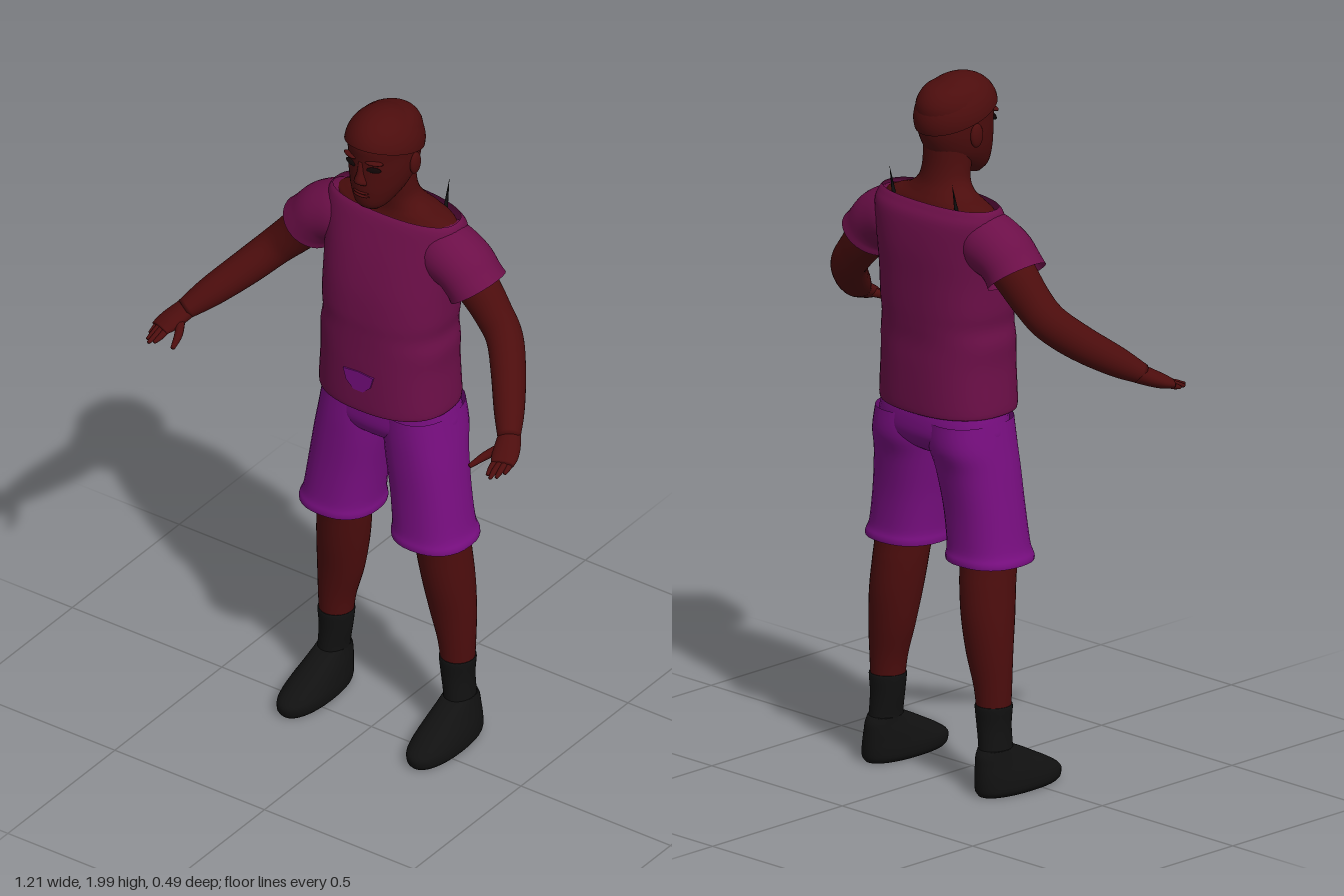
import * as THREE from 'three';

const mat = (name, color, side = THREE.DoubleSide) => {
  const m = new THREE.MeshStandardMaterial({ color, side });
  m.name = name;
  return m;
};

// Smooth loft through rings [x, y, z, ra, rb]. Upright lofts: ra is the z radius, rb the x radius.
// Lofts that follow their path: ra is the upward radius, rb the sideways radius.
function loft(rings, { follow = false, power = 2, caps = false, seg = 32, steps = 5 } = {}) {
  const n = rings.length, rows = [];
  const cubic = (a, b, c, d, t) =>
    b + 0.5 * t * (c - a + t * (2 * a - 5 * b + 4 * c - d + t * (3 * (b - c) + d - a)));
  const at = (i) => rings[Math.min(n - 1, Math.max(0, i))];
  for (let i = 0; i < n - 1; i++)
    for (let s = 0; s < steps; s++)
      rows.push(at(i).map((_, k) => cubic(at(i - 1)[k], at(i)[k], at(i + 1)[k], at(i + 2)[k], s / steps)));
  rows.push(rings[n - 1]);

  const pos = [], index = [], centre = rows.map((r) => new THREE.Vector3(r[0], r[1], r[2]));
  rows.forEach((r, i) => {
    const t = new THREE.Vector3(0, 1, 0), u = new THREE.Vector3(0, 0, 1);
    if (follow) {
      t.subVectors(centre[Math.min(i + 1, rows.length - 1)], centre[Math.max(i - 1, 0)]).normalize();
      u.set(0, 1, 0).addScaledVector(t, -t.y).normalize();
    }
    const v = t.clone().cross(u);
    for (let j = 0; j < seg; j++) {
      const a = (j / seg) * Math.PI * 2, c = Math.cos(a), s = Math.sin(a);
      const p = centre[i].clone()
        .addScaledVector(u, Math.sign(c) * Math.abs(c) ** (2 / power) * r[3])
        .addScaledVector(v, Math.sign(s) * Math.abs(s) ** (2 / power) * r[4]);
      pos.push(p.x, p.y, p.z);
      if (i < rows.length - 1) {
        const k = (j + 1) % seg, o = i * seg;
        index.push(o + j, o + k, o + seg + j, o + k, o + seg + k, o + seg + j);
      }
    }
  });
  if (caps) {
    const first = pos.length / 3, last = (rows.length - 1) * seg;
    for (const c of [centre[0], centre[centre.length - 1]]) pos.push(c.x, c.y, c.z);
    for (let j = 0; j < seg; j++) {
      const k = (j + 1) % seg;
      index.push(first, k, j, first + 1, last + j, last + k);
    }
  }
  const g = new THREE.BufferGeometry();
  g.setAttribute('position', new THREE.Float32BufferAttribute(pos, 3));
  g.setIndex(index);
  g.computeVertexNormals();
  return g;
}

// Mirrored copy across x = 0 with the corner order restored
function mirrored(geo) {
  const g = geo.clone().scale(-1, 1, 1), ix = g.index.array;
  for (let i = 0; i < ix.length; i += 3) [ix[i], ix[i + 1]] = [ix[i + 1], ix[i]];
  return g;
}

function ball(x, y, z, rx, ry, rz, turnY = 0) {
  return new THREE.SphereGeometry(1, 20, 14).scale(rx, ry, rz).rotateY(turnY).translate(x, y, z);
}

export function createModel() {
  const model = new THREE.Group();
  const skin = mat('skin', 0x4c0d0d), shirt = mat('shirt', 0x6c0f48), shorts = mat('shorts', 0x780e80);
  const black = mat('black', 0x111111), eye = mat('eye', 0x120606);
  const add = (name, geo, m) => {
    const mesh = new THREE.Mesh(geo, m);
    mesh.name = name;
    model.add(mesh);
  };
  const pair = (name, geo, m) => {
    add(name + 'Left', geo, m);
    add(name + 'Right', mirrored(geo), m);
  };

  // Head, neck and bare shoulders
  add('head', loft([
    [0, 1.712, 0.0, 0.02, 0.025], [0, 1.735, -0.015, 0.06, 0.05], [0, 1.78, -0.045, 0.098, 0.075],
    [0, 1.83, -0.06, 0.113, 0.088], [0, 1.88, -0.065, 0.118, 0.092], [0, 1.93, -0.065, 0.12, 0.092],
    [0, 1.97, -0.065, 0.09, 0.07], [0, 1.99, -0.065, 0.03, 0.025]], { caps: true }), skin);
  add('neck', loft([
    [0, 1.58, -0.12, 0.1, 0.19], [0, 1.645, -0.12, 0.082, 0.195], [0, 1.665, -0.12, 0.075, 0.165],
    [0, 1.685, -0.115, 0.068, 0.11], [0, 1.715, -0.105, 0.063, 0.078], [0, 1.76, -0.095, 0.065, 0.07],
    [0, 1.82, -0.09, 0.07, 0.07]]), skin);
  add('hair', new THREE.SphereGeometry(1, 36, 18, 0, Math.PI * 2, 0, Math.PI * 0.52)
    .scale(0.102, 0.102, 0.13).rotateX(-0.3).translate(0, 1.895, -0.063), skin);

  // Face
  add('nose', loft([[0, 1.808, 0.045, 0.012, 0.02], [0, 1.82, 0.05, 0.02, 0.019],
    [0, 1.845, 0.048, 0.015, 0.011], [0, 1.88, 0.046, 0.009, 0.008]], { caps: true, seg: 16 }), skin);
  for (const y of [1.771, 1.781]) add('lip', ball(0, y, 0.044, 0.027, 0.006, 0.013), skin);
  pair('ear', ball(0.093, 1.845, -0.075, 0.011, 0.034, 0.022), skin);
  pair('brow', ball(0.04, 1.885, 0.043, 0.026, 0.006, 0.01, 0.35), skin);
  pair('eye', ball(0.039, 1.862, 0.043, 0.021, 0.009, 0.0045, 0.35), eye);

  // Shirt with short sleeves
  add('shirtBody', loft([
    [0, 1.07, -0.09, 0.146, 0.195], [0, 1.085, -0.09, 0.151, 0.202], [0, 1.2, -0.09, 0.15, 0.196],
    [0, 1.27, -0.09, 0.147, 0.198], [0, 1.32, -0.092, 0.147, 0.191], [0, 1.37, -0.094, 0.147, 0.196],
    [0, 1.45, -0.1, 0.142, 0.198], [0, 1.54, -0.112, 0.13, 0.205], [0, 1.62, -0.122, 0.11, 0.215],
    [0, 1.652, -0.12, 0.093, 0.21], [0, 1.665, -0.12, 0.082, 0.2]], { power: 2.4, seg: 48 }), shirt);
  pair('sleeve', loft([
    [0.15, 1.572, -0.115, 0.088, 0.085], [0.18, 1.567, -0.113, 0.088, 0.09],
    [0.23, 1.546, -0.11, 0.083, 0.09], [0.262, 1.515, -0.108, 0.08, 0.088],
    [0.28, 1.492, -0.108, 0.084, 0.089]], { follow: true }), shirt);
  const patch = new THREE.Shape([[-0.05, 1.195], [-0.04, 1.16], [-0.015, 1.138], [0.015, 1.138], [0.04, 1.16],
    [0.05, 1.195], [0, 1.2]].map(([x, y]) => new THREE.Vector2(x, y)));
  add('shirtPatch', new THREE.ExtrudeGeometry(patch, { depth: 0.008, bevelEnabled: false })
    .translate(0, 0, 0.055), shorts);

  // Thin spikes behind the shoulders
  pair('shoulderSpike', new THREE.ConeGeometry(0.007, 0.1, 8).rotateX(-0.2).translate(0.12, 1.69, -0.187), black);

  // Arms and hands
  pair('arm', loft([
    [0.18, 1.575, -0.11, 0.065, 0.065], [0.27, 1.5, -0.11, 0.064, 0.058], [0.335, 1.43, -0.103, 0.057, 0.052],
    [0.385, 1.378, -0.085, 0.053, 0.051], [0.44, 1.32, -0.025, 0.05, 0.048], [0.5, 1.262, 0.055, 0.042, 0.042],
    [0.542, 1.222, 0.115, 0.028, 0.031]], { follow: true, caps: true }), skin);
  pair('palm', loft([
    [0.535, 1.228, 0.1, 0.028, 0.03], [0.552, 1.21, 0.135, 0.024, 0.036], [0.564, 1.197, 0.165, 0.02, 0.037],
    [0.573, 1.188, 0.19, 0.013, 0.032]], { follow: true, caps: true }), skin);
  const fingers = [
    [[0.55, 1.193, 0.18], [0.552, 1.182, 0.21], [0.557, 1.174, 0.237]],
    [[0.565, 1.192, 0.18], [0.567, 1.181, 0.215], [0.571, 1.172, 0.245]],
    [[0.577, 1.192, 0.175], [0.58, 1.181, 0.205], [0.583, 1.172, 0.232]],
    [[0.587, 1.195, 0.16], [0.59, 1.183, 0.185], [0.593, 1.175, 0.207]],
    [[0.54, 1.208, 0.135], [0.512, 1.19, 0.185], [0.496, 1.178, 0.235]]];
  fingers.forEach((path, i) => pair(i < 4 ? 'finger' : 'thumb', loft(
    path.map((p, k) => [...p, ...[[0.01, 0.01], [0.009, 0.009], [0.005, 0.005]][k].map((r) => i < 4 ? r : r * 1.3)]),
    { follow: true, caps: true, seg: 10, steps: 4 }), skin));

  // Shorts: hips and open legs
  add('shortsHips', loft([
    [0, 0.945, -0.1, 0.07, 0.06], [0, 0.965, -0.1, 0.1, 0.15], [0, 1.0, -0.105, 0.124, 0.203],
    [0, 1.05, -0.105, 0.126, 0.2], [0, 1.1, -0.1, 0.12, 0.188]], { power: 2.4, caps: true }), shorts);
  pair('shortsLeg', loft([
    [0.154, 0.655, -0.085, 0.115, 0.117], [0.153, 0.668, -0.085, 0.115, 0.117], [0.148, 0.7, -0.085, 0.108, 0.11],
    [0.135, 0.8, -0.088, 0.107, 0.107], [0.118, 0.91, -0.095, 0.115, 0.107], [0.108, 0.98, -0.105, 0.126, 0.105],
    [0.1, 1.05, -0.105, 0.125, 0.1]], { power: 2.3 }), shorts);

  // Legs, socks and shoes
  pair('leg', loft([
    [0.15, 0.85, -0.095, 0.085, 0.075], [0.162, 0.66, -0.1, 0.084, 0.073], [0.167, 0.59, -0.107, 0.081, 0.074],
    [0.176, 0.5, -0.115, 0.075, 0.073], [0.187, 0.4, -0.12, 0.062, 0.067], [0.2, 0.3, -0.12, 0.051, 0.053],
    [0.204, 0.2, -0.12, 0.046, 0.044]]), skin);
  pair('sock', loft([
    [0.213, 0.09, -0.12, 0.055, 0.045], [0.21, 0.14, -0.12, 0.052, 0.042], [0.204, 0.2, -0.12, 0.05, 0.046],
    [0.203, 0.253, -0.12, 0.053, 0.051], [0.203, 0.256, -0.12, 0.047, 0.046]], { caps: true }), black);
  pair('shoe', loft([
    [0.217, 0.005, -0.04, 0.14, 0.054], [0.217, 0.018, -0.04, 0.149, 0.064], [0.216, 0.042, -0.042, 0.149, 0.065],
    [0.215, 0.068, -0.06, 0.13, 0.06], [0.213, 0.093, -0.083, 0.105, 0.053], [0.212, 0.117, -0.105, 0.08, 0.046],
    [0.211, 0.135, -0.12, 0.055, 0.042]], { power: 2.2, caps: true }), black);

  return model;
}
